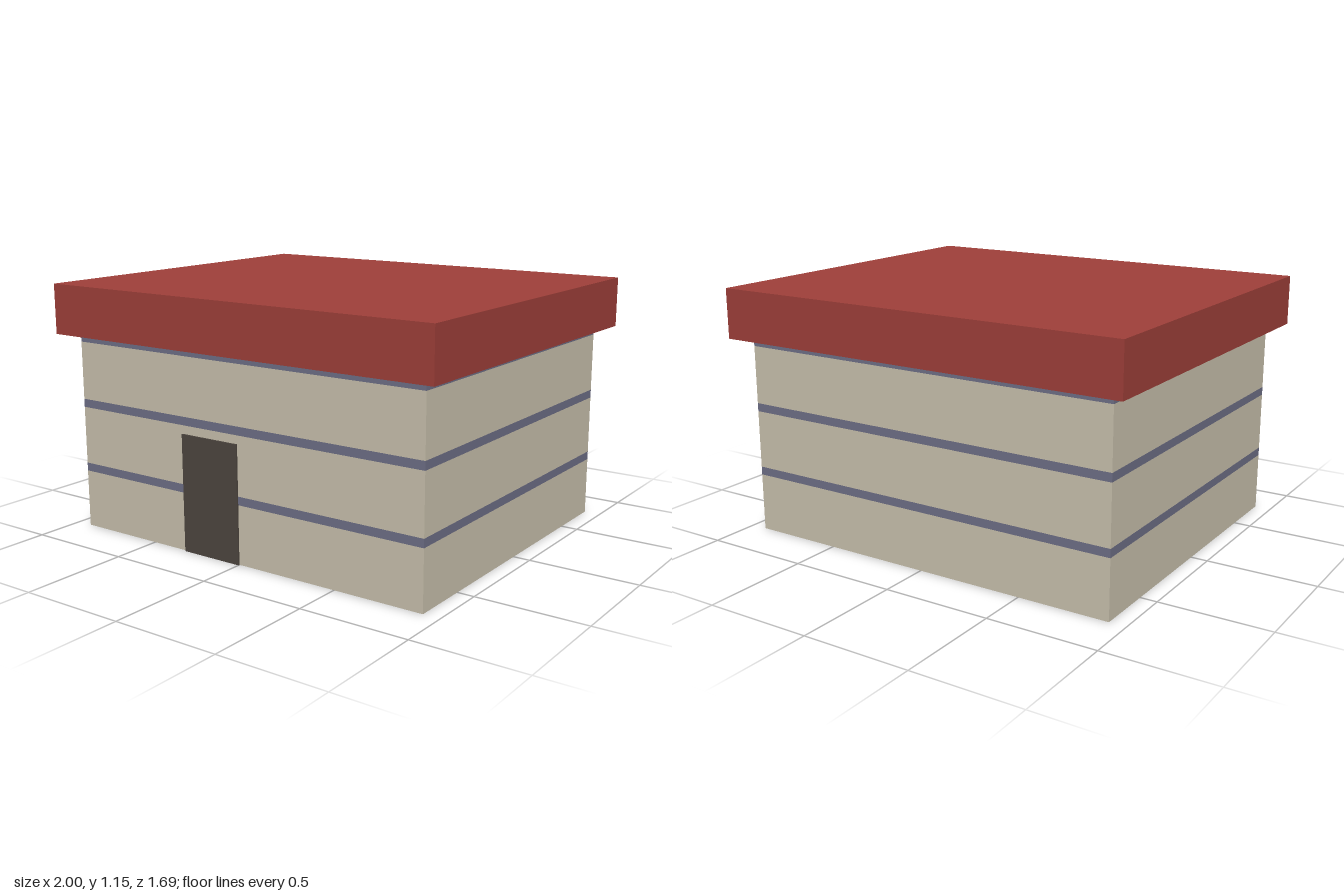
import * as THREE from 'three';

const U = 1 / 13; // building module: the roof is 26 modules wide

export function createModel() {
  const mat = (name, color, side = THREE.FrontSide) => {
    const m = new THREE.MeshStandardMaterial({ color, side });
    m.name = name;
    return m;
  };
  const wallMat = mat('sandWall', 0xcbc3af, THREE.DoubleSide);
  const stripeMat = mat('slateBlueStripe', 0x6f7088, THREE.DoubleSide);
  const roofMat = mat('redRoof', 0xa0403a);
  const doorMat = mat('darkBrownDoor', 0x4e4640);

  const model = new THREE.Group();
  model.name = 'house';
  const halfX = 12 * U, halfZ = 10 * U;

  // One horizontal band of the open wall shell: four thin sheets
  function band(name, y0, y1, material) {
    const group = new THREE.Group();
    group.name = name;
    for (let i = 0; i < 4; i++) {
      const alongX = i % 2 === 0;
      const sheet = new THREE.Mesh(
        new THREE.PlaneGeometry(2 * (alongX ? halfX : halfZ), y1 - y0), material);
      const angle = i * Math.PI / 2;
      sheet.rotation.y = angle;
      sheet.position.set(Math.sin(angle) * halfX, (y0 + y1) / 2, Math.cos(angle) * halfZ);
      sheet.name = name + ['Front', 'Left', 'Back', 'Right'][i];
      group.add(sheet);
    }
    model.add(group);
  }

  // Three storeys, each a wall band topped by a stripe
  for (let i = 0; i < 3; i++) {
    const y = i * 4 * U;
    band('wall' + (i + 1), y, y + 3.5 * U, wallMat);
    band('stripe' + (i + 1), y + 3.5 * U, y + 4 * U, stripeMat);
  }

  // Flat overhanging roof slab
  const roof = new THREE.Mesh(new THREE.BoxGeometry(26 * U, 3 * U, 22 * U), roofMat);
  roof.name = 'roof';
  roof.position.y = 13.5 * U;
  model.add(roof);

  // Door plate on the front wall
  const door = new THREE.Mesh(new THREE.BoxGeometry(4 * U, 7 * U, 0.008), doorMat);
  door.name = 'door';
  door.position.set(-2 * U, 3.5 * U, halfZ + 0.0045);
  model.add(door);

  return model;
}
